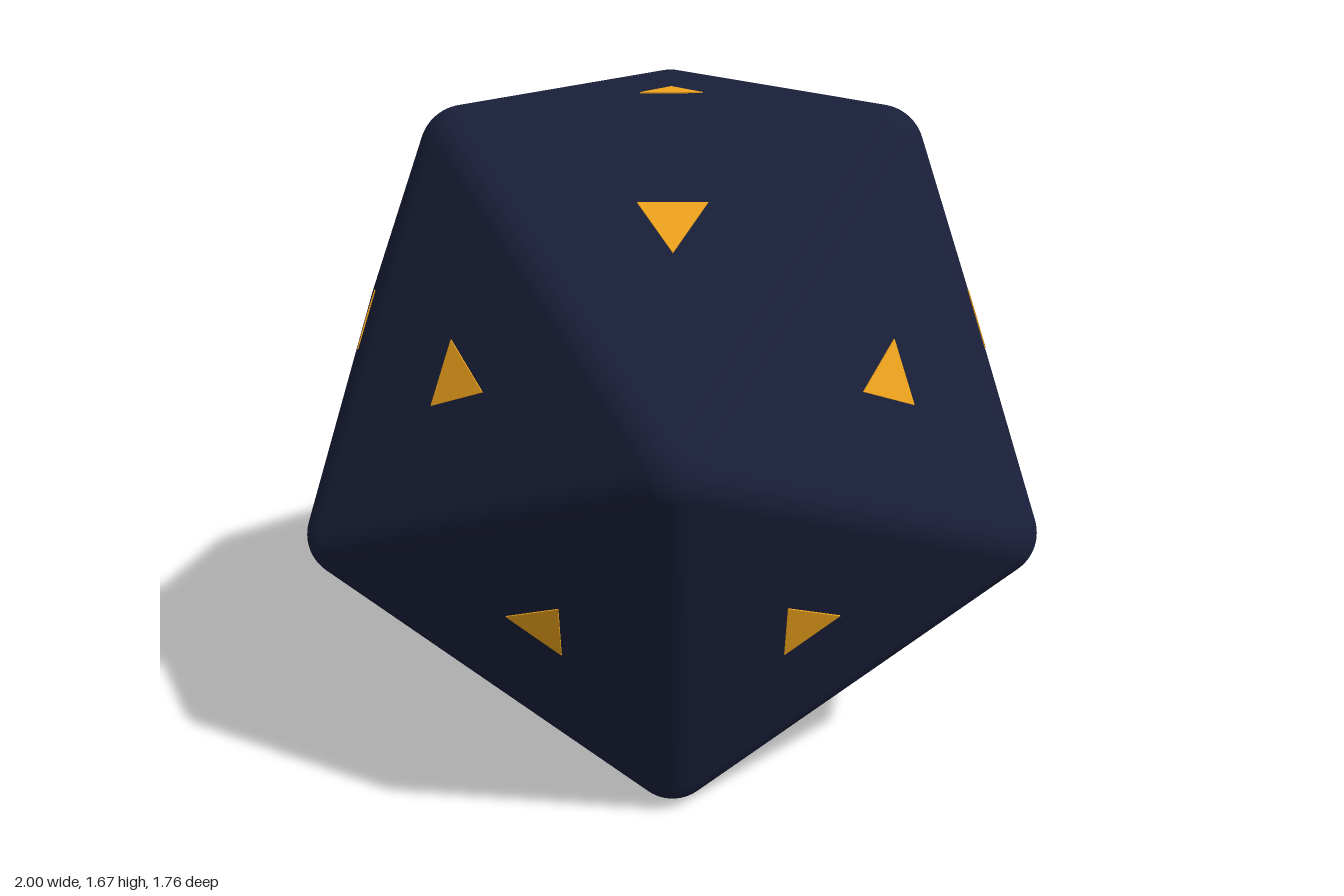
import * as THREE from 'three';

const INRADIUS = 0.83;                   // centre to flat face
const FILLET = 0.11;                     // rounding radius of edges and corners
const CORE = 1 - FILLET / INRADIUS;      // scale of the sharp core inside the rounding
const PHI = (1 + Math.sqrt(5)) / 2;
const EDGE = INRADIUS / 0.7558;

// Icosahedron corners as four triangular rings, resting on a face
function corners() {
  const small = EDGE / Math.sqrt(3), big = small * PHI;
  const mid = INRADIUS * (Math.sqrt(5) - 2);
  const rings = [[small, INRADIUS, 0], [big, mid, 180], [big, -mid, 0], [small, -INRADIUS, 180]];
  const points = [];
  for (const [radius, y, start] of rings) {
    for (let i = 0; i < 3; i++) {
      const a = THREE.MathUtils.degToRad(start + i * 120);
      points.push(new THREE.Vector3(radius * Math.cos(a), y, radius * Math.sin(a)));
    }
  }
  return points;
}

// Every three mutually neighbouring corners make a face, wound outwards
function faces() {
  const p = corners(), list = [];
  const near = (a, b) => Math.abs(a.distanceTo(b) - EDGE) < 0.02;
  for (let i = 0; i < 12; i++) for (let j = i + 1; j < 12; j++) for (let k = j + 1; k < 12; k++) {
    if (!near(p[i], p[j]) || !near(p[j], p[k]) || !near(p[i], p[k])) continue;
    const tri = new THREE.Triangle(p[i], p[j], p[k]);
    const normal = tri.getNormal(new THREE.Vector3());
    list.push(normal.dot(p[i]) > 0 ? tri : new THREE.Triangle(p[i], p[k], p[j]));
  }
  return list;
}

// Each face is a set of nested triangles; points outside the core are pulled onto the fillet
function roundedBody(faceList) {
  const steps = 6, pos = [], nor = [], index = [];
  const cornerSpan = (1 - CORE) / 2;
  const along = [];
  for (let i = 0; i <= steps; i++) along.push(cornerSpan * i / steps);
  along.push(0.5);
  for (let i = steps; i > 0; i--) along.push(1 - cornerSpan * i / steps);
  const ringSize = along.length * 3;

  for (const tri of faceList) {
    const base = pos.length / 3;
    const v = [tri.a, tri.b, tri.c];
    const centre = tri.getMidpoint(new THREE.Vector3());
    const normal = tri.getNormal(new THREE.Vector3());
    const core = new THREE.Triangle(...v.map(c => c.clone().multiplyScalar(CORE)));
    const add = (p, flat) => {
      const q = core.closestPointToPoint(p, new THREE.Vector3());
      const n = flat ? normal.clone() : p.clone().sub(q).normalize();
      pos.push(...q.addScaledVector(n, FILLET).toArray());
      nor.push(...n.toArray());
    };
    for (let r = 0; r <= steps; r++) {
      const scale = 1 - (1 - CORE) * r / steps;
      for (let s = 0; s < 3; s++) for (const t of along) {
        add(v[s].clone().lerp(v[(s + 1) % 3], t).sub(centre).multiplyScalar(scale).add(centre), r === steps);
      }
    }
    add(centre, true);
    const middle = base + (steps + 1) * ringSize;
    for (let r = 0; r <= steps; r++) for (let i = 0; i < ringSize; i++) {
      const a = base + r * ringSize + i, b = base + r * ringSize + (i + 1) % ringSize;
      if (r === steps) index.push(a, b, middle);
      else index.push(a, b, b + ringSize, a, b + ringSize, a + ringSize);
    }
  }
  const geometry = new THREE.BufferGeometry();
  geometry.setAttribute('position', new THREE.Float32BufferAttribute(pos, 3));
  geometry.setAttribute('normal', new THREE.Float32BufferAttribute(nor, 3));
  geometry.setIndex(index);
  return geometry;
}

export function createModel() {
  const model = new THREE.Group();
  model.name = 'twentySidedDie';
  const faceList = faces();

  const body = new THREE.Mesh(roundedBody(faceList), new THREE.MeshStandardMaterial({ color: 0x1a1f3a }));
  body.name = 'body';
  model.add(body);

  // Plain gold inlay in the middle of every face
  const inlays = new THREE.Group();
  inlays.name = 'faceInlays';
  const inlayShape = new THREE.CylinderGeometry(0.09, 0.09, 0.006, 3);
  const gold = new THREE.MeshStandardMaterial({ color: 0xf0a41c, flatShading: true });
  for (const tri of faceList) {
    const up = tri.getNormal(new THREE.Vector3());
    const centre = tri.getMidpoint(new THREE.Vector3());
    const out = tri.a.clone().sub(centre).normalize();
    const side = new THREE.Vector3().crossVectors(up, out);
    const inlay = new THREE.Mesh(inlayShape, gold);
    inlay.name = 'faceInlay';
    inlay.quaternion.setFromRotationMatrix(new THREE.Matrix4().makeBasis(side, up, out));
    inlay.position.copy(centre);
    inlays.add(inlay);
  }
  model.add(inlays);

  // Rest the bottom face on the ground, allowing for its inlay
  model.children.forEach(part => { part.position.y = INRADIUS + 0.003; });
  return model;
}
